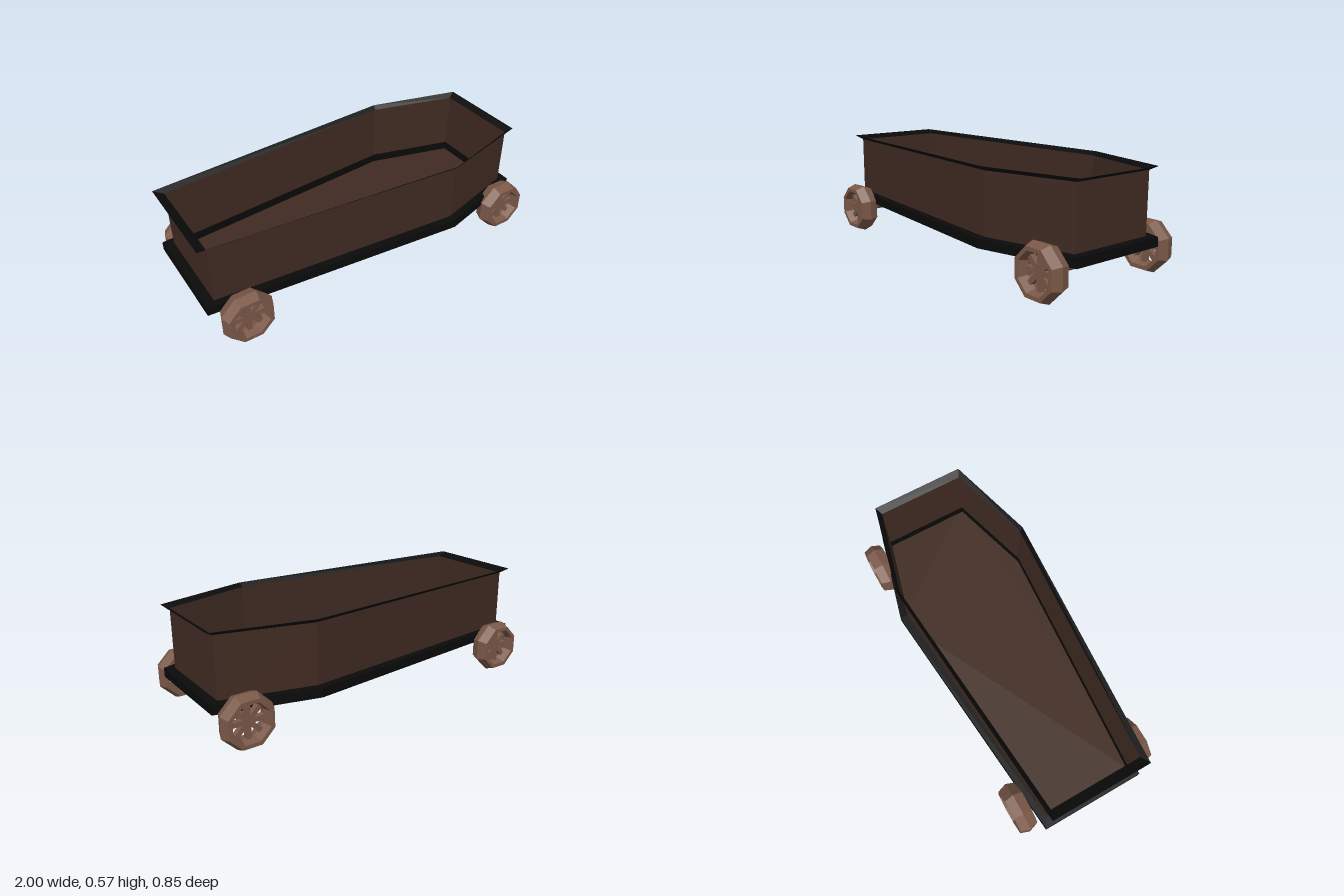
import * as THREE from 'three';
import { mergeGeometries } from 'three/addons/utils/BufferGeometryUtils.js';

// Six-sided coffin outline in (x, z): narrow end, shoulders, head end
function outline(xFoot, zFoot, xShoulder, zShoulder, xHead, zHead) {
  return [
    [xFoot, zFoot], [xShoulder, zShoulder], [xHead, zHead],
    [xHead, -zHead], [xShoulder, -zShoulder], [xFoot, -zFoot],
  ];
}

// Strip of flat quads joining outline a at height ya to outline b at height yb
function band(a, ya, b, yb) {
  const pos = [];
  a.forEach(([x0, z0], i) => {
    const j = (i + 1) % a.length;
    const p = [x0, ya, z0], q = [a[j][0], ya, a[j][1]];
    const r = [b[j][0], yb, b[j][1]], s = [b[i][0], yb, b[i][1]];
    pos.push(...p, ...q, ...r, ...p, ...r, ...s);
  });
  const g = new THREE.BufferGeometry();
  g.setAttribute('position', new THREE.Float32BufferAttribute(pos, 3));
  g.computeVertexNormals();
  return g;
}

export function createModel() {
  const model = new THREE.Group();
  model.name = 'coffinCart';

  const darkWood = new THREE.MeshStandardMaterial({ color: 0x402b22, side: THREE.DoubleSide });
  darkWood.name = 'dark wood';
  const blackTrim = new THREE.MeshStandardMaterial({ color: 0x0a0a0a, side: THREE.DoubleSide });
  blackTrim.name = 'black trim';
  const wheelWood = new THREE.MeshStandardMaterial({ color: 0x7a5848, flatShading: true });
  wheelWood.name = 'wheel wood';
  const axleWood = wheelWood.clone();
  axleWood.flatShading = false;
  axleWood.name = 'axle wood';

  const add = (parent, name, geometry, material) => {
    const mesh = new THREE.Mesh(geometry, material);
    mesh.name = name;
    parent.add(mesh);
    return mesh;
  };

  const wall = outline(-0.945, 0.262, 0.465, 0.38, 0.95, 0.249);
  const rim = outline(-0.998, 0.285, 0.468, 0.4, 0.99, 0.268);
  const base = outline(-0.998, 0.295, 0.468, 0.425, 0.998, 0.283);

  // Open box with a flared rim
  add(model, 'walls', band(wall, 0.222, wall, 0.552), darkWood);
  add(model, 'flaredRim', band(wall, 0.552, rim, 0.574), blackTrim);

  // Black frame around the floor
  add(model, 'baseFrame', mergeGeometries([
    band(base, 0.172, base, 0.222),
    band(base, 0.222, wall, 0.222),
    band(wall, 0.222, wall, 0.172),
  ]), blackTrim);

  // Floor sheet
  const floorShape = new THREE.Shape(base.map(([x, z]) => new THREE.Vector2(x, -z)));
  const floor = add(model, 'floor', new THREE.ShapeGeometry(floorShape), darkWood);
  floor.rotation.x = -Math.PI / 2;
  floor.position.y = 0.172;

  // Eight-sided wheel tyre with a hexagonal section, turned about z
  const section = [
    [0.095, 0], [0.109, -0.052], [0.131, -0.052], [0.15, 0],
    [0.131, 0.052], [0.109, 0.052], [0.095, 0],
  ].map(([r, h]) => new THREE.Vector2(r, h));
  const tyre = new THREE.LatheGeometry(section, 8);
  tyre.rotateY(Math.PI / 8);
  tyre.rotateX(Math.PI / 2);

  // Four crossing bars make eight spokes
  const bars = [];
  for (let i = 0; i < 4; i++) {
    bars.push(new THREE.BoxGeometry(0.215, 0.026, 0.03).rotateZ(i * Math.PI / 4));
  }
  const spokes = mergeGeometries(bars);

  // Two wheel pairs, each with its axle
  const axleGeometry = new THREE.CylinderGeometry(0.027, 0.027, 0.74, 16).rotateX(Math.PI / 2);
  for (const [end, x] of [['rear', -0.82], ['front', 0.86]]) {
    const pair = new THREE.Group();
    pair.name = `${end}WheelPair`;
    pair.position.set(x, 0.141, 0);
    model.add(pair);
    add(pair, 'axle', axleGeometry, axleWood);
    for (const side of [1, -1]) {
      const wheel = new THREE.Group();
      wheel.name = 'wheel';
      wheel.position.z = side * 0.368;
      pair.add(wheel);
      add(wheel, 'tyre', tyre, wheelWood);
      add(wheel, 'spokes', spokes, wheelWood);
    }
  }

  return model;
}
